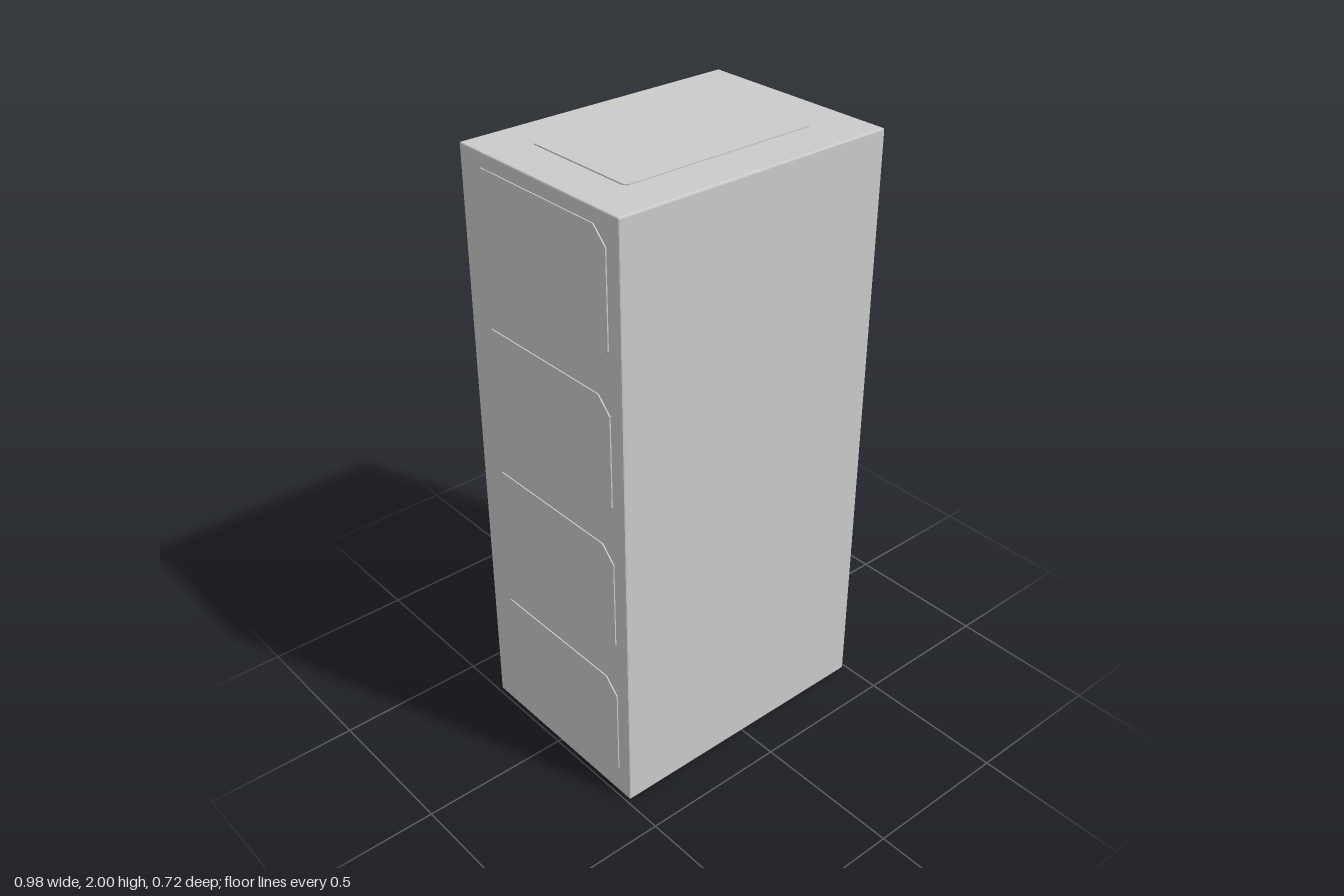
import * as THREE from 'three';
import { RoundedBoxGeometry } from 'three/addons/geometries/RoundedBoxGeometry.js';

const material = new THREE.MeshStandardMaterial({ color: 0xcccccc, flatShading: true });

// Flat plate with clipped corners, centred in xy and rising from z = 0 to z = depth
function plate(name, w, h, clip, depth) {
  const x = w / 2, y = h / 2;
  const shape = new THREE.Shape([
    [x - clip, -y], [x, -y + clip], [x, y - clip], [x - clip, y],
    [-x + clip, y], [-x, y - clip], [-x, -y + clip], [-x + clip, -y],
  ].map(([a, b]) => new THREE.Vector2(a, b)));
  const mesh = new THREE.Mesh(
    new THREE.ExtrudeGeometry(shape, { depth, bevelEnabled: false }), material);
  mesh.name = name;
  return mesh;
}

export function createModel() {
  const model = new THREE.Group();
  model.name = 'cabinet';

  // Main case with a fine edge bevel
  const body = new THREE.Mesh(new RoundedBoxGeometry(0.976, 1.996, 0.702, 1, 0.005), material);
  body.name = 'body';
  body.position.set(0, 0.998, 0.011);
  model.add(body);

  // Top panel
  const top = plate('topPanel', 0.69, 0.41, 0.012, 0.006);
  top.rotation.x = -Math.PI / 2;
  top.position.set(0, 1.994, 0.01);
  model.add(top);

  // Four panels down each side
  for (const side of [-1, 1]) {
    for (let i = 0; i < 4; i++) {
      const panel = plate(side > 0 ? 'leftSidePanel' : 'rightSidePanel', 0.6, 0.4, 0.05, 0.006);
      panel.rotation.y = side * Math.PI / 2;
      panel.position.set(side * 0.486, 0.25 + i * 0.5, 0.011);
      model.add(panel);
    }
  }

  // Back frame with two raised panels
  const back = new THREE.Group();
  back.name = 'back';
  back.rotation.y = Math.PI;
  back.position.set(0, 1, -0.338);
  back.add(plate('backFrame', 0.88, 1.9, 0.05, 0.021));
  for (const y of [-0.475, 0.475]) {
    const panel = plate('backPanel', 0.78, 0.85, 0.012, 0.006);
    panel.position.set(0, y, 0.018);
    back.add(panel);
  }
  model.add(back);

  return model;
}
